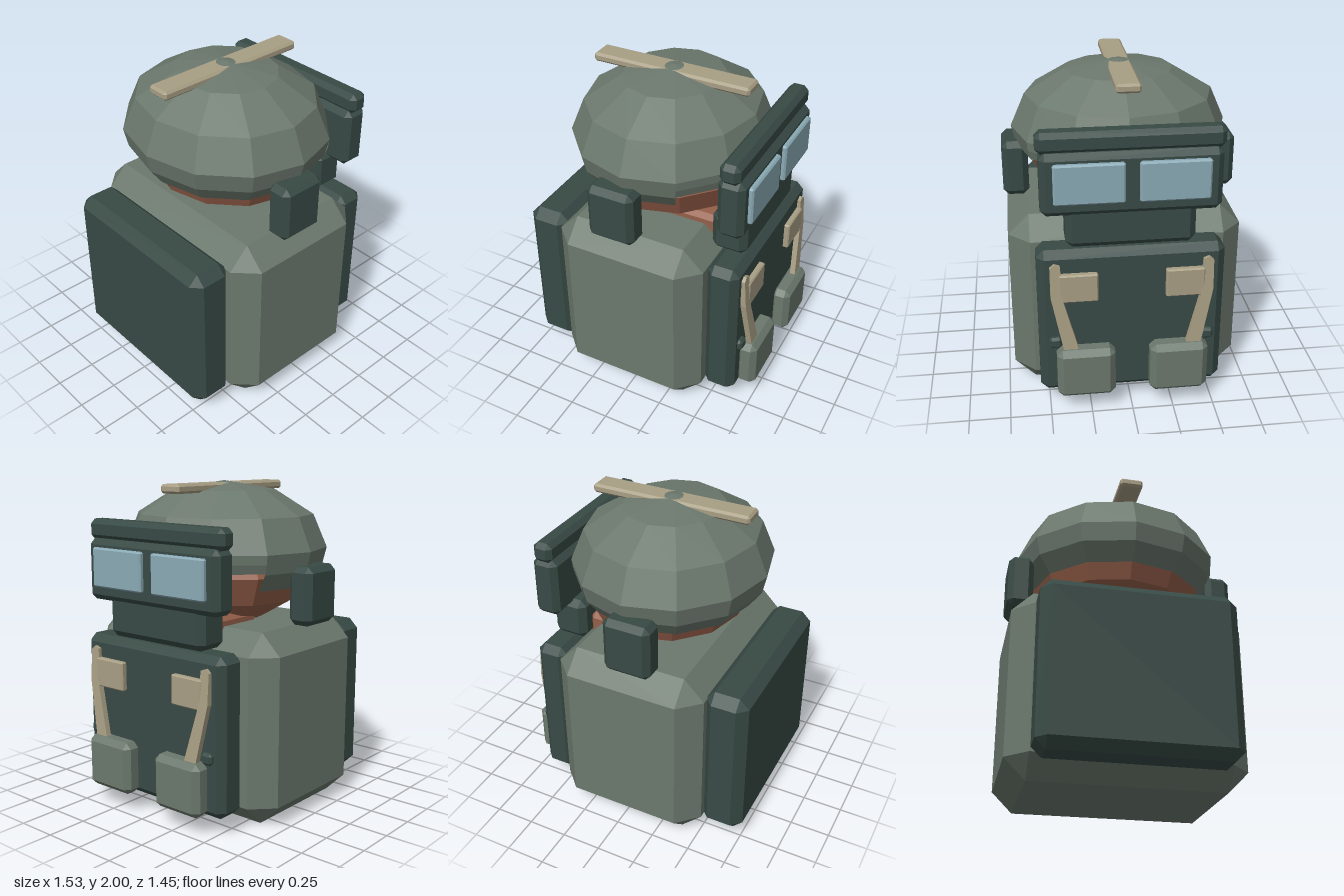
import * as THREE from 'three';
import { ConvexGeometry } from 'three/addons/geometries/ConvexGeometry.js';

const paint = (color, side = THREE.FrontSide) =>
  new THREE.MeshStandardMaterial({ color, flatShading: true, side });

export function createModel() {
  const model = new THREE.Group();
  model.name = 'soldierBust';
  const green = paint(0x6b786d), dark = paint(0x384a45), tan = paint(0xa89e84);
  const skin = paint(0x955f49), glass = paint(0x8aaab5);
  const shell = paint(0x6b786d, THREE.DoubleSide);

  const add = (name, geometry, material, parent = model) => {
    const mesh = new THREE.Mesh(geometry, material);
    mesh.name = name;
    parent.add(mesh);
    return mesh;
  };

  // Box with chamfered edges and corners, given by its x, y and z ranges
  const block = (name, [x0, x1], [y0, y1], [z0, z1], c, material, parent) => {
    const h = [(x1 - x0) / 2, (y1 - y0) / 2, (z1 - z0) / 2];
    const points = [];
    for (const sx of [-1, 1]) for (const sy of [-1, 1]) for (const sz of [-1, 1])
      for (let axis = 0; axis < 3; axis++) {
        const [px, py, pz] = h.map((v, i) => (i === axis ? v : v - c));
        points.push(new THREE.Vector3(sx * px, sy * py, sz * pz));
      }
    const mesh = add(name, new ConvexGeometry(points), material, parent);
    mesh.position.set((x0 + x1) / 2, (y0 + y1) / 2, (z0 + z1) / 2);
    return mesh;
  };

  // Body
  block('torso', [-0.51, 0.46], [0, 1.165], [-0.71, 0.71], 0.128, green);
  block('backpack', [-0.765, -0.49], [0.08, 1.09], [-0.58, 0.58], 0.06, dark);
  block('chestVest', [0.455, 0.66], [0.1, 1.065], [-0.555, 0.555], 0.045, dark);

  // Head and chin
  const head = add('head', new THREE.SphereGeometry(1, 12, 6), skin);
  head.scale.set(0.53, 0.33, 0.575);
  head.position.set(0, 1.455, 0);
  block('chin', [0.02, 0.415], [1.0, 1.225], [-0.3, 0.3], 0.03, skin);

  // Helmet: dome, long skirt round the back and short skirt over the face
  const helmet = new THREE.Group();
  helmet.name = 'helmet';
  helmet.position.set(-0.025, 1.6, 0);
  helmet.scale.set(0.605, 0.4, 0.66);
  model.add(helmet);
  const rad = THREE.MathUtils.degToRad;
  const shellPart = (name, segs, rows, phi0, phi, theta0, theta) =>
    add(name, new THREE.SphereGeometry(1, segs, rows, rad(phi0), rad(phi), rad(theta0), rad(theta)), shell, helmet);
  shellPart('helmetDome', 12, 3, 0, 360, 0, 90);
  shellPart('helmetBackSkirt', 8, 1, 240, 240, 90, 34);
  shellPart('helmetFrontSkirt', 4, 1, 120, 120, 90, 16);
  block('helmetBar', [-0.53, 0.48], [1.935, 1.99], [-0.074, 0.072], 0.014, tan);

  // Goggles and face mask
  block('goggleFrame', [0.495, 0.66], [1.285, 1.66], [-0.52, 0.52], 0.035, dark);
  block('goggleBrow', [0.51, 0.635], [1.65, 1.775], [-0.535, 0.535], 0.03, dark);
  block('faceMask', [0.405, 0.63], [1.065, 1.33], [-0.38, 0.38], 0.04, dark);

  // Outline of a chest strap as z, y pairs
  const strapOutline = [
    [0.48, 0.975], [0.455, 0.998], [0.42, 0.985], [0.405, 0.75],
    [0.32, 0.43], [0.41, 0.43], [0.48, 0.79],
  ];

  // Paired parts
  for (const side of [1, -1]) {
    const label = side > 0 ? 'left' : 'right';
    const z = (a, b) => (side > 0 ? [a, b] : [-b, -a]);
    block(label + 'EarCup', [-0.225, 0.075], [1.17, 1.52], z(0.565, 0.725), 0.035, dark);
    block(label + 'Lens', [0.64, 0.688], [1.37, 1.61], z(0.04, 0.445), 0.01, glass);
    block(label + 'Pouch', [0.635, 0.765], [0.118, 0.445], z(0.105, 0.455), 0.035, green);
    block(label + 'StrapPatch', [0.645, 0.695], [0.75, 0.93], z(0.2, 0.43), 0.008, tan);
    block(label + 'Buckle', [0.64, 0.69], [0.435, 0.505], z(0.42, 0.495), 0.015, dark);

    const shape = new THREE.Shape(strapOutline.map(([a, y]) => new THREE.Vector2(a * side, y)));
    const strap = new THREE.ExtrudeGeometry(shape, { depth: 0.035, bevelEnabled: false });
    strap.rotateY(-Math.PI / 2).translate(0.68, 0, 0);
    // Lean the strap outwards toward the pouch
    const pos = strap.attributes.position;
    for (let i = 0; i < pos.count; i++) pos.setX(i, pos.getX(i) + (1 - pos.getY(i)) * 0.075);
    strap.computeVertexNormals();
    add(label + 'Strap', strap, tan);
  }
  return model;
}
